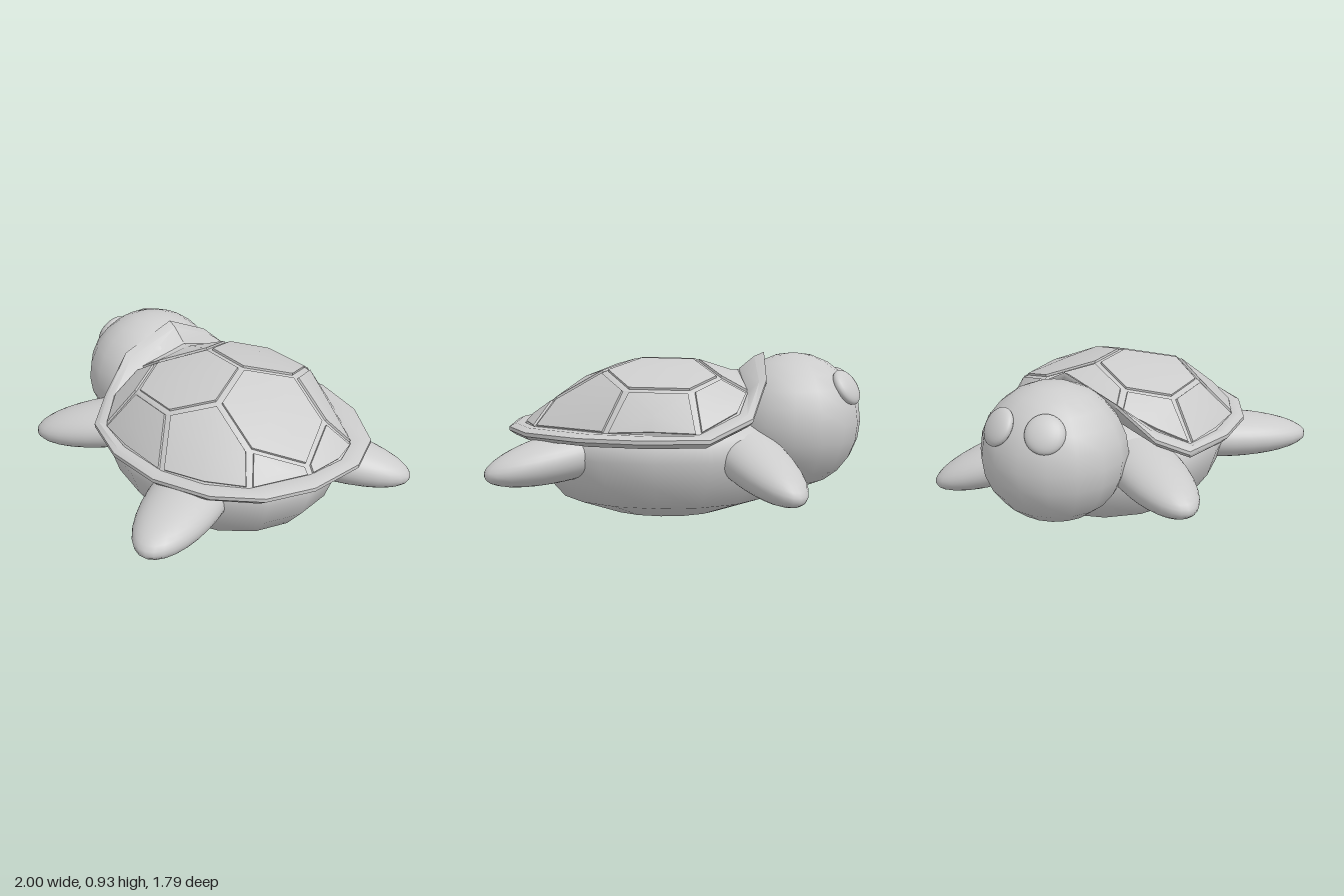
import * as THREE from 'three';
import { toCreasedNormals } from 'three/addons/utils/BufferGeometryUtils.js';

const grey = new THREE.MeshStandardMaterial({ color: 0xcccccc });
const greyDouble = new THREE.MeshStandardMaterial({ color: 0xcccccc, side: THREE.DoubleSide });
const V = (x, y, z) => new THREE.Vector3(x, y, z);

// Geometry from a list of triangle corners, smooth except at sharp edges
function fromTriangles(points, crease) {
  return toCreasedNormals(new THREE.BufferGeometry().setFromPoints(points), crease);
}

// Rim stations running round the shell: inner point and outer point
const Y = 0.53, L = 0.515;
const rimStations = {
  a: [V(0.88, Y, -0.07), V(0.975, L, -0.02)],
  b: [V(0.79, Y, 0.27), V(0.9, L, 0.25)],
  c: [V(0.62, Y, 0.43), V(0.71, L, 0.46)],
  d: [V(0.38, Y, 0.53), V(0.4, L, 0.6)],
  e: [V(0.06, Y, 0.55), V(0.06, L, 0.62)],
  f: [V(-0.2, Y, 0.5), V(-0.28, L, 0.53)],
  g: [V(-0.33, 0.62, 0.36), V(-0.4, 0.6, 0.38)],
  h: [V(-0.37, 0.72, 0.15), V(-0.47, 0.79, 0.18)],
  i: [V(-0.32, 0.83, -0.13), V(-0.455, 0.92, -0.13)],
  j: [V(-0.37, 0.72, -0.4), V(-0.47, 0.79, -0.4)],
  k: [V(-0.33, 0.62, -0.57), V(-0.4, 0.6, -0.6)],
  l: [V(-0.13, Y, -0.71), V(-0.19, L, -0.79)],
  m: [V(0.12, Y, -0.73), V(0.15, L, -0.845)],
  n: [V(0.36, Y, -0.7), V(0.49, L, -0.78)],
  o: [V(0.78, Y, -0.46), V(0.8, L, -0.6)],
  p: [V(0.87, Y, -0.3), V(0.945, L, -0.36)],
};

// Corners where the shell plates meet
const corners = [
  V(-0.07, 0.88, -0.13), V(0.24, 0.885, -0.12), V(0.4, 0.83, 0.17), V(0.23, 0.76, 0.37),
  V(-0.1, 0.745, 0.35), V(-0.24, 0.8, 0.12), V(-0.22, 0.8, -0.39), V(-0.08, 0.745, -0.6),
  V(0.26, 0.75, -0.6), V(0.41, 0.83, -0.36), V(0.69, 0.67, -0.34), V(0.84, 0.56, -0.08),
  V(0.68, 0.67, 0.18),
];
const plateOutlines = [
  '0 1 9 8 7 6', '0 5 4 3 2 1', '1 2 12 11 10 9', '0 6 j i h 5',
  '5 h g f 4', '4 f e d 3', '3 d c b 12 2', '12 b a 11',
  '11 a p o 10', '10 o n 8 9', '8 n m l 7', '7 l k j 6',
];

// One plate: its full floor, plus an inset raised top with side walls
function plateTriangles(outline) {
  const floor = outline.split(' ').map((s) => (rimStations[s] ? rimStations[s][0] : corners[+s]));
  const n = floor.length;
  const center = V(0, 0, 0), normal = V(0, 0, 0);
  floor.forEach((p) => center.addScaledVector(p, 1 / n));
  floor.forEach((p, i) => normal.add(
    p.clone().sub(center).cross(floor[(i + 1) % n].clone().sub(center))));
  normal.normalize();
  const radius = floor.reduce((sum, p) => sum + p.distanceTo(center), 0) / n;
  const crown = center.clone().addScaledVector(normal, radius * 0.1);
  const lift = normal.clone().multiplyScalar(0.014);
  const top = floor.map((p) => p.clone()
    .addScaledVector(center.clone().sub(p).normalize(), 0.02).add(lift));
  const crownTop = crown.clone().add(lift);
  const base = [], raised = [];
  for (let i = 0; i < n; i++) {
    const j = (i + 1) % n;
    const footI = top[i].clone().addScaledVector(lift, -1.6);
    const footJ = top[j].clone().addScaledVector(lift, -1.6);
    base.push(crown, floor[i], floor[j]);
    raised.push(crownTop, top[i], top[j]);
    raised.push(top[i], footI, footJ, top[i], footJ, top[j]);
  }
  return { base, raised };
}

// Rim: a rounded lip swept round the stations
function rimGeometry() {
  const loops = Object.values(rimStations).map(([inner, outer]) => {
    const mid = inner.clone().lerp(outer, 0.6);
    return [
      inner.clone().add(V(0, 0.008, 0)),
      mid.clone().add(V(0, 0.02, 0)),
      outer.clone().add(V(0, 0.008, 0)),
      outer.clone().add(V(0, -0.012, 0)),
      mid.clone().add(V(0, -0.045, 0)),
      inner.clone().lerp(outer, -0.3).add(V(0, -0.05, 0)),
    ];
  });
  const tris = [];
  loops.forEach((A, i) => {
    const B = loops[(i + 1) % loops.length];
    for (let k = 0; k < A.length; k++) {
      const m = (k + 1) % A.length;
      tris.push(A[k], B[k], B[m], A[k], B[m], A[m]);
    }
  });
  return fromTriangles(tris, 0.75);
}

export function createModel() {
  const model = new THREE.Group();
  model.name = 'turtle';
  const add = (name, geometry, material = grey, parent = model) => {
    const mesh = new THREE.Mesh(geometry, material);
    mesh.name = name;
    parent.add(mesh);
    return mesh;
  };

  // Belly: faceted bowl, closed off under the shell
  const profile = [[0, 0], [0.33, 0.03], [0.595, 0.12], [0.7, 0.24], [0.755, 0.38],
    [0.74, 0.5], [0.5, 0.62], [0, 0.7]].map(([r, y]) => new THREE.Vector2(r, y));
  const body = add('body', new THREE.LatheGeometry(profile, 16));
  body.scale.z = 0.83;
  body.position.set(0.105, 0, -0.09);

  // Head
  const head = add('head', new THREE.SphereGeometry(1, 16, 12));
  head.scale.set(0.38, 0.38, 0.4);
  head.position.set(-0.62, 0.545, -0.11);

  // Eyes: flat discs lying on the head
  [['leftEye', 0.0], ['rightEye', -0.27]].forEach(([name, z]) => {
    const eye = add(name, new THREE.SphereGeometry(1, 24, 16));
    eye.position.set(-0.905, 0.745, z);
    eye.lookAt(eye.position.clone().multiplyScalar(2).sub(head.position));
    eye.scale.set(0.105, 0.105, 0.045);
  });

  // Flippers: root centre, direction to the tip, half length, half width
  const flippers = [
    ['frontLeftFlipper', V(-0.36, 0.43, 0.29), V(-0.63, -0.15, 0.78), 0.52, 0.2],
    ['frontRightFlipper', V(-0.36, 0.4, -0.44), V(-0.54, -0.33, -0.84), 0.55, 0.19],
    ['rearLeftFlipper', V(0.45, 0.375, 0.39), V(0.5, -0.03, 0.86), 0.57, 0.215],
    ['rearRightFlipper', V(0.55, 0.4, -0.44), V(0.81, -0.17, -0.58), 0.54, 0.19],
  ];
  flippers.forEach(([name, root, dir, length, width]) => {
    const flipper = add(name, new THREE.SphereGeometry(1, 32, 20));
    const along = dir.clone().normalize();
    const across = along.clone().cross(V(0, 1, 0)).normalize();
    const up = across.clone().cross(along);
    flipper.quaternion.setFromRotationMatrix(new THREE.Matrix4().makeBasis(along, up, across));
    flipper.position.copy(root);
    flipper.scale.set(length, 0.135, width);
  });

  // Shell: grooved base, raised plates and rim
  const shell = new THREE.Group();
  shell.name = 'shell';
  model.add(shell);
  const baseTriangles = [];
  plateOutlines.forEach((outline) => {
    const { base, raised } = plateTriangles(outline);
    baseTriangles.push(...base);
    add('shellPlate', fromTriangles(raised, 0.7), greyDouble, shell);
  });
  add('shellBase', fromTriangles(baseTriangles, 0.5), greyDouble, shell);
  add('shellRim', rimGeometry(), greyDouble, shell);

  return model;
}
